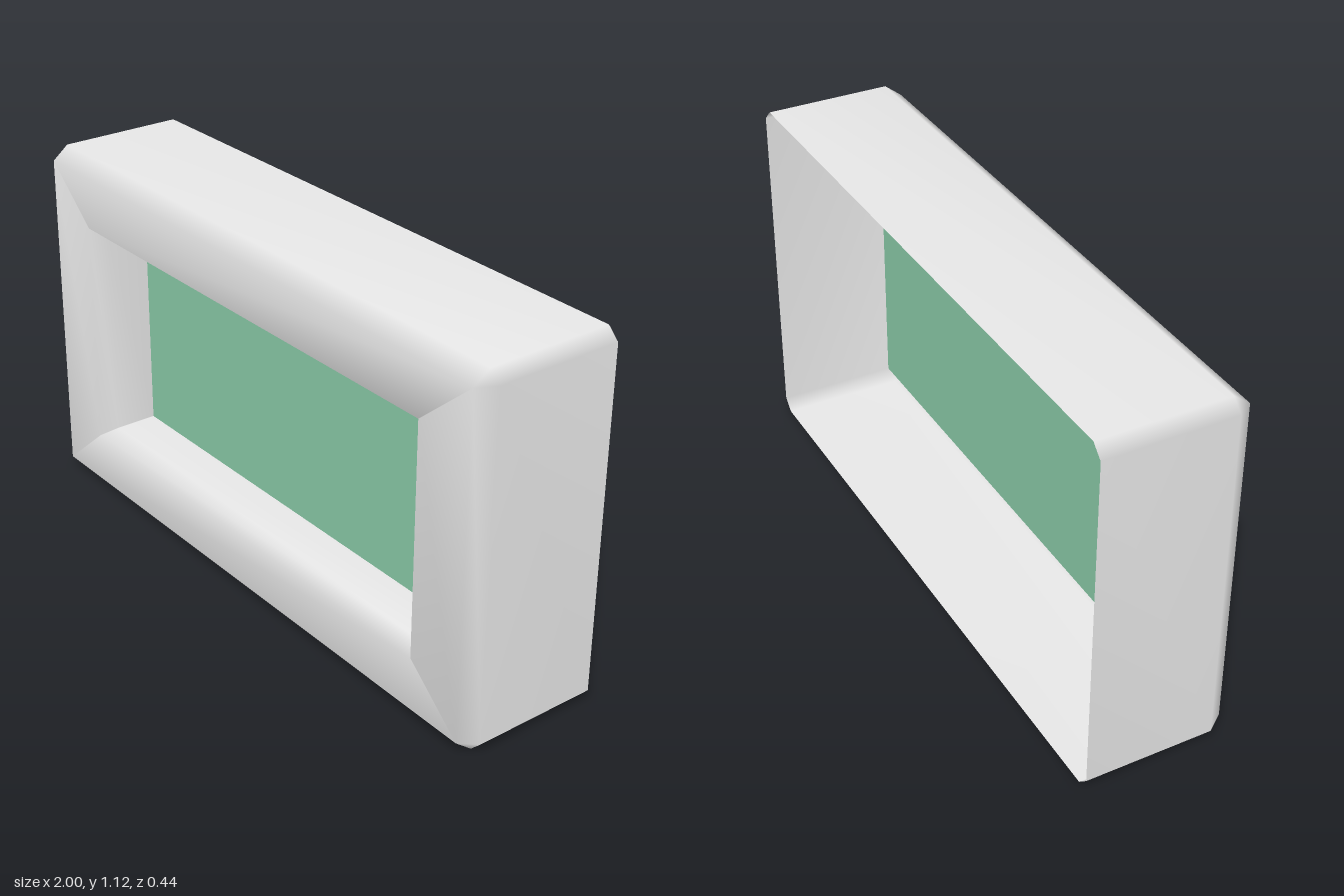
import * as THREE from 'three';
import { mergeVertices } from 'three/addons/utils/BufferGeometryUtils.js';

const MID_Y = 0.56;

// Counter-clockwise rectangle with cut corners, as eight points at depth z
function cutRectangle(halfW, halfH, z, cut) {
  const w = halfW - cut, h = halfH - cut;
  return [
    [-w, -halfH], [w, -halfH], [halfW, -h], [halfW, h],
    [w, halfH], [-w, halfH], [-halfW, h], [-halfW, -h],
  ].map(([x, y]) => [x, y + MID_Y, z]);
}

// Smooth skin joining successive rings
function skin(rings) {
  const n = rings[0].length, index = [];
  for (let r = 0; r < rings.length - 1; r++) {
    for (let i = 0; i < n; i++) {
      const a = r * n + i, b = r * n + (i + 1) % n;
      index.push(a, b, b + n, a, b + n, a + n);
    }
  }
  let geometry = new THREE.BufferGeometry();
  geometry.setAttribute('position', new THREE.Float32BufferAttribute(rings.flat(2), 3));
  geometry.setIndex(index);
  geometry = mergeVertices(geometry);
  // Drop the triangles that collapse at square corners
  const merged = geometry.index.array, kept = [];
  for (let i = 0; i < merged.length; i += 3) {
    const [a, b, c] = merged.slice(i, i + 3);
    if (a !== b && b !== c && c !== a) kept.push(a, b, c);
  }
  geometry.setIndex(kept);
  geometry.computeVertexNormals();
  return geometry;
}

export function createModel() {
  const model = new THREE.Group();
  model.name = 'framedPanel';

  const frameGrey = new THREE.MeshStandardMaterial({ color: 0xe6e6e6, side: THREE.DoubleSide });
  frameGrey.name = 'frame grey';
  const panelGreen = new THREE.MeshStandardMaterial({ color: 0x88c8a6, side: THREE.DoubleSide });
  panelGreen.name = 'panel green';

  // Open-backed casing: sides, bevelled front, then the recess walls
  // (a hair-thin cut keeps the recess corners sharp)
  const frame = new THREE.Mesh(skin([
    cutRectangle(1, 0.56, -0.222, 0.035),
    cutRectangle(1, 0.56, 0.17, 0.035),
    cutRectangle(0.962, 0.52, 0.222, 0),
    cutRectangle(0.772, 0.358, 0.222, 0.001),
    cutRectangle(0.735, 0.33, 0.175, 0.001),
    cutRectangle(0.735, 0.33, 0.042, 0.001),
  ]), frameGrey);
  frame.name = 'frame';
  model.add(frame);

  // Flat panel closing the recess
  const panel = new THREE.Mesh(new THREE.PlaneGeometry(1.47, 0.66), panelGreen);
  panel.name = 'panel';
  panel.position.set(0, MID_Y, 0.042);
  model.add(panel);

  return model;
}
